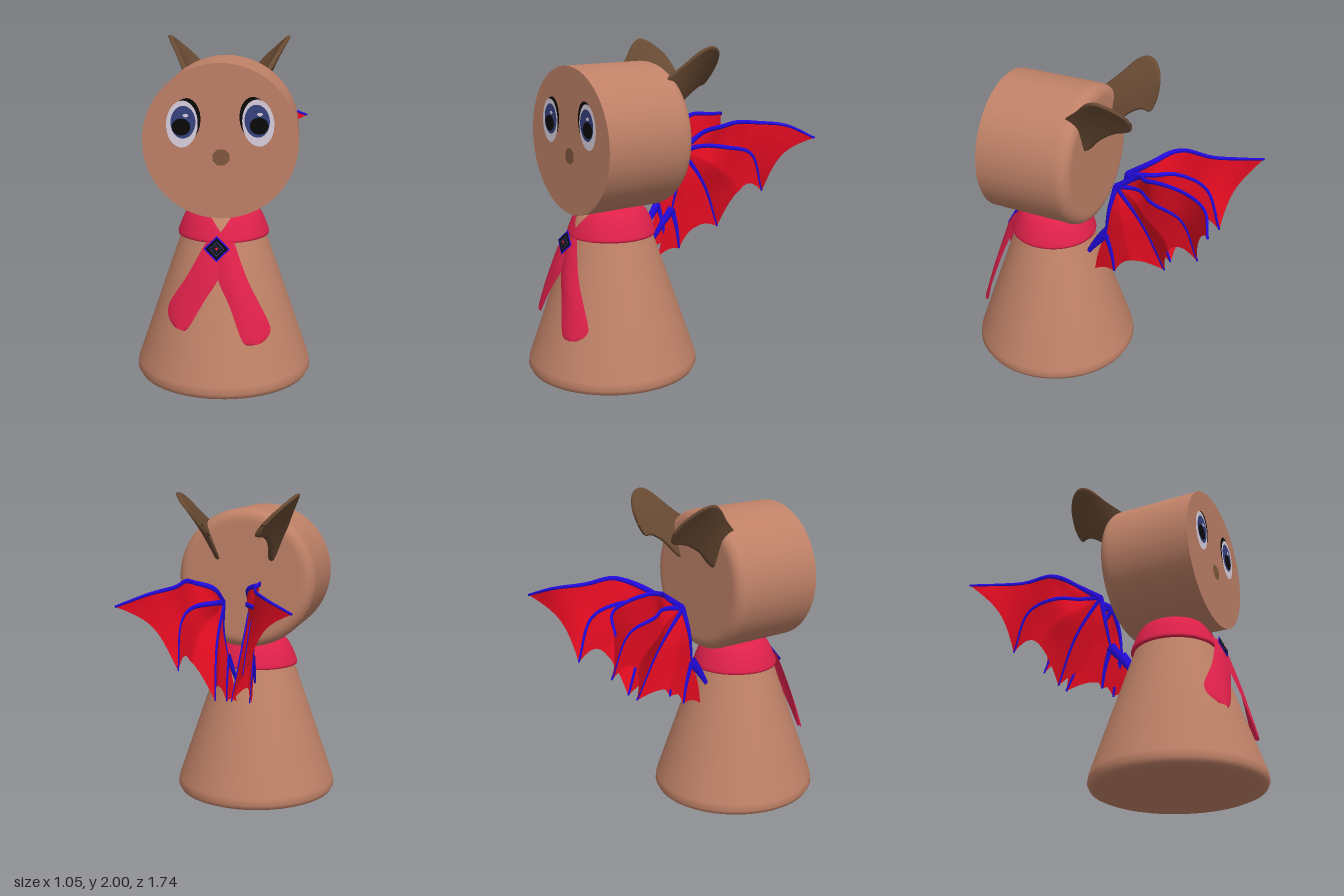
import * as THREE from 'three';
import { ParametricGeometry } from 'three/addons/geometries/ParametricGeometry.js';

const mat = (name, color, double = false) => {
  const m = new THREE.MeshStandardMaterial({ color });
  m.name = name;
  if (double) m.side = THREE.DoubleSide;
  return m;
};

const AXIS_Z = 0.345; // body axis
const FACE_Z = 0.63; // flat front of the head
const bodyRadius = (y) => 0.52 - (y - 0.085) * 0.344;
const v2 = (p) => new THREE.Vector2(p[0], p[1]);
const curve2 = (pts) => new THREE.SplineCurve(pts.map(v2));
const curve3 = (pts) => new THREE.CatmullRomCurve3(pts.map((p) => new THREE.Vector3(...p)));

export function createModel() {
  const M = {
    skin: mat('tan', 0xbf8167),
    ear: mat('dark brown', 0x684a33, true),
    nose: mat('nose brown', 0x80583f),
    scarf: mat('crimson', 0xe0214b, true),
    red: mat('wing red', 0xe60c22, true),
    blue: mat('wing blue', 0x240ae2, true),
    white: mat('eye white', 0xd9d0de),
    iris: mat('iris blue', 0x36427f),
    black: mat('black', 0x090909),
  };
  const model = new THREE.Group();
  const add = (name, geometry, material, parent = model) => {
    const mesh = new THREE.Mesh(geometry, material);
    mesh.name = name;
    parent.add(mesh);
    return mesh;
  };

  // Body: cone with a rounded foot
  const bodyProfile = [[0, 0], [0.47, 0], [0.485, 0], [0.512, 0.012], [0.527, 0.04], [0.52, 0.085],
    [0.385, 0.478], [0.25, 0.87], [0.2, 0.99], [0.1, 1.03], [0, 1.03]];
  add('body', new THREE.LatheGeometry(bodyProfile.map(v2), 64), M.skin).position.z = AXIS_Z;

  // Head: cylinder lying along z, rounded at the back, flat at the face
  const headProfile = [[0, 0], [0.35, 0], [0.37, 0]];
  for (let i = 1; i <= 6; i++) {
    const a = (i / 6) * Math.PI / 2;
    headProfile.push([0.37 + 0.07 * Math.sin(a), 0.07 - 0.07 * Math.cos(a)]);
  }
  headProfile.push([0.44, 0.1], [0.44, 0.6]);
  const head = new THREE.Group();
  head.name = 'head';
  head.position.set(0, 1.457, 0.03);
  model.add(head);
  add('headShell', new THREE.LatheGeometry(headProfile.map(v2), 64), M.skin, head).rotation.x = Math.PI / 2;
  add('face', new THREE.CircleGeometry(0.44, 64), M.skin, head).position.z = 0.6;

  // Eyes and nose: thin layered discs on the face
  const disc = (name, x, y, rx, ry, layer, material, tilt = 0, sides = 32) => {
    const d = add(name, new THREE.CircleGeometry(1, sides), material);
    d.scale.set(rx, ry, 1);
    d.rotation.z = tilt;
    d.position.set(x, y, FACE_Z + layer * 0.0015);
  };
  for (const [s, dy, tilt] of [[-1, 0, -0.05], [1, 0.01, 0.1]]) {
    disc('eyeLash', s * 0.19, 1.58 + dy, 0.081, 0.122, 1, M.black, tilt);
    disc('eyeWhite', s * 0.213, 1.556 + dy, 0.089, 0.132, 2, M.white, tilt);
    disc('iris', s * 0.207, 1.567 + dy, 0.07, 0.092, 3, M.iris, tilt);
    disc('pupil', s * 0.218, 1.54 + dy, 0.052, 0.048, 4, M.black);
    disc('eyeGlint', s * 0.207 + 0.015, 1.605 + dy, 0.016, 0.01, 5, M.white);
  }
  disc('nose', 0.005, 1.37, 0.052, 0.05, 2, M.nose, Math.PI / 8, 8);

  // Ears: leaf between a top and a bottom edge (z, y), twisted outwards to the back
  const earTop = curve2([[0.11, 1.81], [0.02, 1.89], [-0.06, 1.97], [-0.13, 2.0], [-0.2, 1.97], [-0.25, 1.9], [-0.264, 1.82]]);
  const earBottom = curve2([[0.11, 1.8], [0.07, 1.7], [0.03, 1.575], [-0.08, 1.68], [-0.17, 1.735], [-0.245, 1.75], [-0.264, 1.81]]);
  for (const s of [-1, 1]) {
    add('ear', new ParametricGeometry((u, v, out) => {
      const a = v * Math.PI * 2;
      const p = earBottom.getPoint(u).lerp(earTop.getPoint(u), 0.5 + 0.5 * Math.cos(a));
      const lean = (p.y - 1.575 - (0.03 - p.x) * 0.74) * (0.45 - 1.6 * p.x);
      const thickness = 0.016 * THREE.MathUtils.clamp(3 * Math.sin(a), -1, 1);
      out.set(s * (0.172 + lean + thickness), p.y, p.x);
    }, 30, 24), M.ear);
  }

  // Scarf collar, dipping to a V at the front
  const collarCurve = curve2([[0.25, 0.865], [0.272, 0.87], [0.257, 0.92], [0.225, 0.99], [0.185, 1.035], [0.11, 1.047]]);
  add('scarfCollar', new ParametricGeometry((u, v, out) => {
    const a = (u - 0.5) * Math.PI * 2; // 0 at the front
    const c = collarCurve.getPoint(v * Math.min(1, 0.42 + Math.abs(a) * 0.85));
    out.set(c.x * Math.sin(a), c.y, AXIS_Z + c.x * Math.cos(a));
  }, 72, 12), M.scarf);

  // Scarf tails, draped over the cone
  const tail = (outer, inner) => {
    const a = curve2(outer), b = curve2(inner);
    add('scarfTail', new ParametricGeometry((u, v, out) => {
      const p = a.getPoint(v).lerp(b.getPoint(v), u);
      const r = bodyRadius(p.y) + 0.022 + 0.015 * (1 - u) + 0.012 * Math.sin(Math.PI * u) + 0.02 * (1 - v);
      out.set(p.x, p.y, AXIS_Z + Math.sqrt(r * r - p.x * p.x));
    }, 10, 24), M.scarf);
  };
  tail([[-0.08, 0.88], [-0.19, 0.68], [-0.29, 0.52], [-0.3, 0.44], [-0.26, 0.39]],
    [[0.05, 0.88], [0, 0.69], [-0.08, 0.56], [-0.16, 0.42], [-0.195, 0.375]]);
  tail([[0.08, 0.88], [0.16, 0.67], [0.28, 0.43], [0.29, 0.36], [0.25, 0.32]],
    [[-0.05, 0.88], [-0.01, 0.68], [0.06, 0.53], [0.135, 0.34], [0.18, 0.31]]);

  // Brooch: stacked diamonds
  const brooch = new THREE.Group();
  brooch.name = 'brooch';
  brooch.position.set(-0.018, 0.845, 0.665);
  brooch.rotation.x = -0.33;
  model.add(brooch);
  [[0.075, M.blue], [0.064, M.black], [0.043, M.iris], [0.037, M.black], [0.024, M.iris], [0.02, M.black], [0.011, M.scarf]]
    .forEach(([r, m], i) => {
      const d = add('broochDiamond', new THREE.CylinderGeometry(r, r, 0.004, 4), m, brooch);
      d.rotation.x = Math.PI / 2;
      d.position.z = i * 0.0015;
    });

  // Wings: folded, scalloped membranes ruled between finger bones
  const W = [0.085, 1.33, -0.13], E = [0.08, 0.97, -0.06], T = [0.075, 0.7, -0.12];
  const fingers = {
    leading: [W, [0.105, 1.44, -0.29], [0.195, 1.48, -0.37], [0.22, 1.5, -0.45], [0.235, 1.485, -0.62], [0.33, 1.465, -0.78], [0.5, 1.4, -0.865]],
    second: [W, [0.1, 1.35, -0.29], [0.19, 1.34, -0.41], [0.205, 1.28, -0.6], [0.19, 1.02, -0.71]],
    third: [W, [0.08, 1.1, -0.31], [0.05, 0.79, -0.45]],
    arm: [W, [0.1, 1.15, -0.09], E, T],
    lower: [E, [0.078, 0.83, -0.1], T],
    root: [E, [0.065, 0.8, 0], [0.05, 0.66, 0.03]],
  };
  const bones = {
    leadingBone: [fingers.leading, 0.019],
    secondBone: [fingers.second, 0.018],
    thirdBone: [fingers.third, 0.02],
    armBone: [[W, [0.1, 1.15, -0.09], E], 0.018],
    lowerBone: [fingers.lower, 0.02],
    shoulderBone: [[E, [0.07, 0.88, 0.01], [0.06, 0.79, 0.07]], 0.034],
  };
  // each membrane: two fingers, scallop depth, outward fold
  const membranes = [['leading', 'second', 0.07, 0], ['second', 'third', 0.16, 0.06],
    ['third', 'arm', 0.12, 0.035], ['lower', 'root', 0.08, 0]];
  for (const s of [-1, 1]) {
    const wing = new THREE.Group();
    wing.name = s > 0 ? 'leftWing' : 'rightWing';
    model.add(wing);
    const side = (pts) => curve3(pts.map(([x, y, z]) => [s * x, y, z]));
    for (const [p, q, scallop, fold] of membranes) {
      const a = side(fingers[p]), b = side(fingers[q]);
      add('wingMembrane', new ParametricGeometry((u, v, out) => {
        const t = u * (1 - scallop * 4 * v * (1 - v));
        out.copy(a.getPoint(t)).lerp(b.getPoint(t), v);
        out.x += s * fold * t * (1 - Math.abs(2 * v - 1));
      }, 20, 10), M.red, wing);
    }
    for (const [name, [pts, r]] of Object.entries(bones)) {
      const path = side(pts), n = 28, ring = 9;
      const g = new THREE.TubeGeometry(path, n, r, ring - 1);
      // flatten sideways and taper towards the tip
      const pos = g.attributes.position, v = new THREE.Vector3();
      for (let i = 0; i < pos.count; i++) {
        const t = Math.floor(i / ring) / n, c = path.getPointAt(t);
        v.fromBufferAttribute(pos, i).sub(c).multiplyScalar(1 - 0.6 * t);
        pos.setXYZ(i, c.x + v.x * 0.45, c.y + v.y, c.z + v.z);
      }
      g.computeVertexNormals();
      add(name, g, M.blue, wing);
    }
  }
  return model;
}
